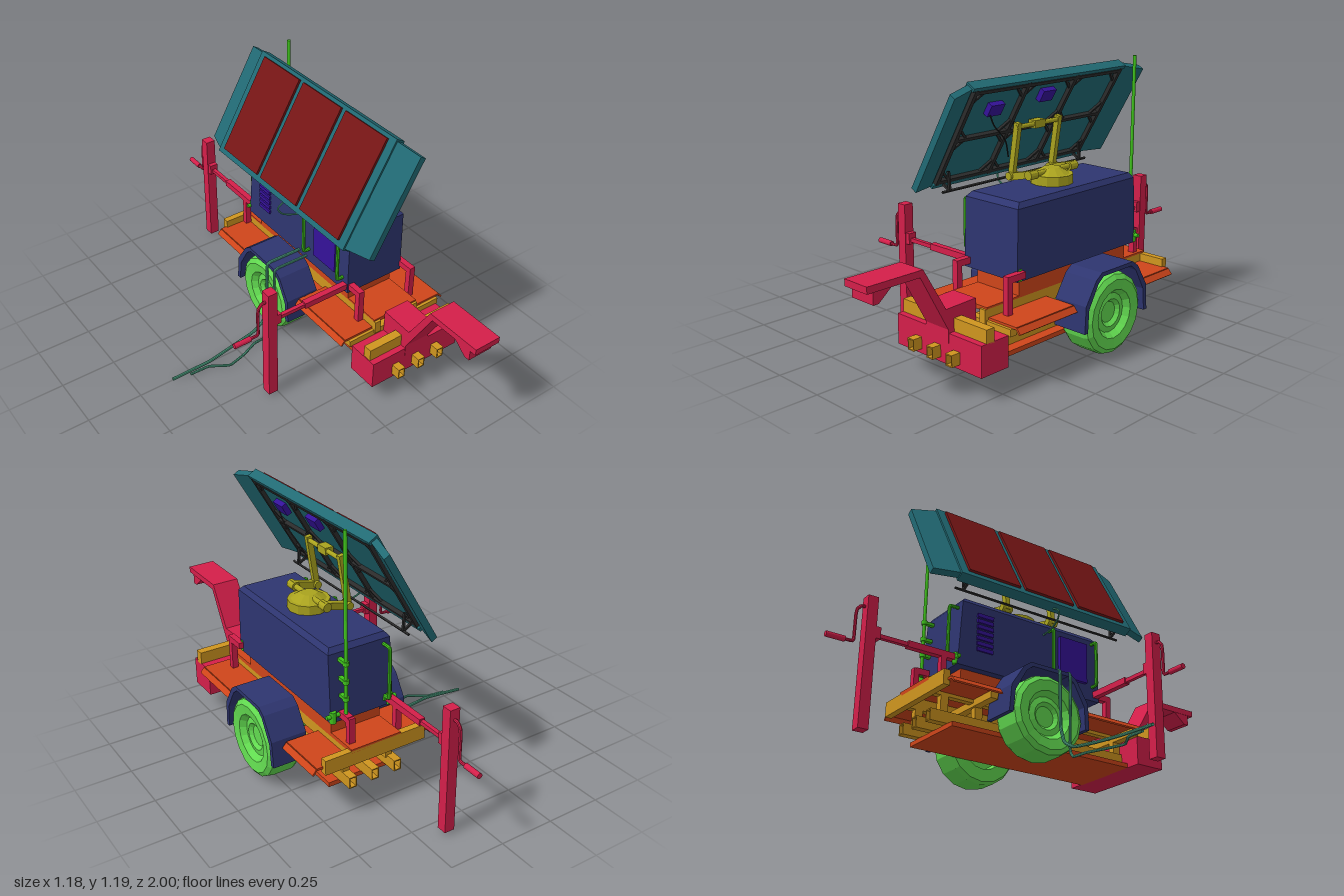
import * as THREE from 'three';

const mat = (color) => new THREE.MeshStandardMaterial({ color, flatShading: true, side: THREE.DoubleSide });
const V = (x, y, z) => new THREE.Vector3(x, y, z);

export function createModel() {
  const model = new THREE.Group();
  const M = {
    blue: mat(0x2e3570), pink: mat(0xd41f4a), amber: mat(0xcf951f), orange: mat(0xcf451a), teal: mat(0x216a74),
    red: mat(0x761515), yellow: mat(0xaaa31e), green: mat(0x3fc31c), tire: mat(0x62da50), hose: mat(0x4fa585),
    dark: mat(0x2b2b2b), purple: mat(0x35129a),
  };
  const add = (name, geo, m, parent = model) => {
    const mesh = new THREE.Mesh(geo, m);
    mesh.name = name;
    parent.add(mesh);
    return mesh;
  };
  // box given by its limits on each axis
  const box = (name, m, x0, x1, y0, y1, z0, z1, parent) => {
    const g = new THREE.BoxGeometry(x1 - x0, y1 - y0, z1 - z0);
    return add(name, g.translate((x0 + x1) / 2, (y0 + y1) / 2, (z0 + z1) / 2), m, parent);
  };
  // square bar between two points
  const bar = (name, m, a, b, w, h, parent = model) => {
    const mesh = new THREE.Mesh(new THREE.BoxGeometry(w, h, a.distanceTo(b)), m);
    mesh.name = name;
    mesh.position.copy(a).lerp(b, 0.5);
    mesh.lookAt(b);
    parent.add(mesh);
  };
  const tube = (name, m, pts, r, parent, tension = 0.15) => add(name, new THREE.TubeGeometry(
    new THREE.CatmullRomCurve3(pts.map((p) => V(...p)), false, 'catmullrom', tension), pts.length * 8, r, 8), m, parent);
  const rod = (name, m, r, h, x, y, z, axis = 'y', parent) => {
    const g = new THREE.CylinderGeometry(r, r, h, 12);
    if (axis === 'x') g.rotateZ(Math.PI / 2);
    if (axis === 'z') g.rotateX(Math.PI / 2);
    return add(name, g.translate(x, y, z), m, parent);
  };
  // side profile of [z, y] points extruded across x
  const sideShape = (name, m, pts, x0, x1) => {
    const g = new THREE.ExtrudeGeometry(new THREE.Shape(pts.map((p) => new THREE.Vector2(...p))),
      { depth: x1 - x0, bevelEnabled: false });
    return add(name, g.rotateY(-Math.PI / 2).translate(x1, 0, 0), m);
  };
  // box whose top is a smaller rectangle: [x0, x1, z0, z1] at each level
  const taper = (name, m, lo, hi, y0, y1) => {
    const g = new THREE.BoxGeometry(1, 1, 1), p = g.attributes.position;
    for (let i = 0; i < p.count; i++) {
      const r = p.getY(i) > 0 ? hi : lo;
      p.setXYZ(i, p.getX(i) > 0 ? r[1] : r[0], p.getY(i) > 0 ? y1 : y0, p.getZ(i) > 0 ? r[3] : r[2]);
    }
    g.computeVertexNormals();
    return add(name, g, m);
  };
  const MID = 0.267;

  // frame: lower rails, posts, upper rails, cross beams
  const tubeShape = new THREE.Shape([[-.0175, -.025], [.0175, -.025], [.0175, .025], [-.0175, .025]].map((p) => new THREE.Vector2(...p)));
  tubeShape.holes.push(new THREE.Path([[-.013, -.02], [-.013, .02], [.013, .02], [.013, -.02]].map((p) => new THREE.Vector2(...p))));
  for (const x of [0.155, 0.265, 0.372]) {
    add('lowerRail', new THREE.ExtrudeGeometry(tubeShape, { depth: 1.18, bevelEnabled: false }).translate(x, 0.155, -0.52), M.amber);
  }
  for (const x of [0.165, 0.37]) {
    box('upperRail', M.amber, x - 0.015, x + 0.015, 0.25, 0.31, -0.51, 0.48);
    for (const z of [0.455, 0.155, -0.285, -0.45]) box('framePost', M.amber, x - 0.015, x + 0.015, 0.17, 0.26, z - 0.018, z + 0.018);
  }
  for (const z of [0.455, 0.155, -0.295]) box('crossMember', M.amber, 0.02, 0.515, 0.235, 0.265, z - 0.018, z + 0.018);
  box('rearBeam', M.amber, 0.03, 0.505, 0.245, 0.31, -0.53, -0.5);
  box('frontBeam', M.amber, 0.033, 0.505, 0.235, 0.295, 0.55, 0.59);
  box('bottomPlate', M.orange, 0.1, 0.435, 0.11, 0.13, -0.44, 0.48);

  // deck with lower side wings
  box('deckPlate', M.orange, 0.15, 0.385, 0.3, 0.318, -0.53, 0.47);
  box('cabinetBase', M.orange, 0.15, 0.385, 0.315, 0.39, -0.38, 0.29);
  for (const s of [1, -1]) {
    for (const [z0, z1] of [[0.13, 0.46], [-0.51, -0.28]]) {
      const c = MID + s * 0.19, zc = (z0 + z1) / 2;
      box('deckWing', M.orange, c - 0.075, c + 0.075, 0.265, 0.275, z0, z1);
      bar('wingLip', M.orange, V(MID + s * 0.265, 0.27, zc), V(MID + s * 0.283, 0.248, zc), z1 - z0, 0.008);
    }
  }

  // drawbar box and raised hitch
  box('drawbarBox', M.pink, 0.03, 0.505, 0.11, 0.24, 0.475, 0.618);
  sideShape('gooseneck', M.pink, [[1, 0.525], [0.74, 0.525], [0.63, 0.34], [0.475, 0.345], [0.475, 0.2],
    [0.62, 0.2], [0.62, 0.255], [0.755, 0.497], [1, 0.497]], 0.203, 0.33);
  sideShape('hitchBracket', M.pink, [[0.97, 0.5], [0.97, 0.447], [0.945, 0.447], [0.88, 0.5]], 0.205, 0.325);

  // axle, wheels and fenders
  rod('axle', M.tire, 0.025, 0.5, MID, 0.195, -0.07, 'x');
  const tireProfile = [[0, 0.035], [0.045, 0.035], [0.06, 0.05], [0.085, 0.045], [0.105, 0.07], [0.15, 0.076], [0.17, 0.062],
    [0.175, 0.04], [0.175, -0.05], [0.165, -0.07], [0.11, -0.076], [0.1, -0.04], [0, -0.04]].map((p) => new THREE.Vector2(...p));
  const arch = [[0.13, 0.165], [0.125, 0.28], [0.065, 0.375], [0.03, 0.4], [-0.17, 0.4], [-0.205, 0.375], [-0.265, 0.28], [-0.275, 0.165]];
  const inner = arch.map(([z, y]) => [-0.07 + (z + 0.07) * 0.9, y < 0.2 ? y : y - 0.017]).reverse();
  for (const s of [1, -1]) {
    const c = MID + s * 0.246;
    const wheel = add('wheel', new THREE.LatheGeometry(tireProfile.slice().reverse(), 16), M.tire);
    wheel.rotation.z = -s * Math.PI / 2;
    wheel.position.set(c, 0.195, -0.07);
    sideShape('fender', M.blue, [...arch, ...inner], c - 0.08, c + 0.08);
  }

  // cabinet
  taper('cabinet', M.blue, [0.113, 0.41, -0.42, 0.327], [0.118, 0.408, -0.402, 0.322], 0.388, 0.683);
  taper('cabinetTop', M.blue, [0.118, 0.408, -0.402, 0.322], [0.135, 0.393, -0.385, 0.3], 0.683, 0.705);
  box('sidePanel', M.purple, 0.098, 0.125, 0.46, 0.65, 0.1, 0.25);
  for (let i = 0; i < 7; i++) box('vent', M.purple, 0.107, 0.125, 0.47 + i * 0.026, 0.487 + i * 0.026, -0.33, -0.25);

  // grab handles, corner latches and mast
  const handle = (z) => tube('grabHandle', M.green,
    [[0.125, 0.665, z], [0.09, 0.665, z], [0.082, 0.655, z], [0.082, 0.465, z], [0.09, 0.455, z], [0.125, 0.455, z]], 0.008);
  [0.05, 0.29].forEach(handle);
  tube('rearHandle', M.green, [[0.15, 0.66, -0.39], [0.15, 0.66, -0.44], [0.15, 0.65, -0.448],
    [0.15, 0.44, -0.448], [0.15, 0.43, -0.44], [0.15, 0.43, -0.4]], 0.008);
  for (const x of [0.13, 0.4]) {
    for (const z of [0.31, -0.42]) {
      rod('cornerLatch', M.green, 0.014, 0.05, x, 0.415, z);
      rod('latchPin', M.green, 0.009, 0.06, x, 0.42, z, 'x');
    }
  }
  rod('mast', M.green, 0.0075, 0.8, 0.357, 0.8, -0.449);
  for (const y of [0.42, 0.5, 0.575, 0.655]) {
    box('mastClamp', M.green, 0.348, 0.366, y - 0.007, y + 0.007, -0.455, -0.39);
    rod('mastCollar', M.green, 0.013, 0.018, 0.357, y, -0.449);
  }

  // crank jack on an arm reaching along local +x from the corner pivot
  const jack = (px, pz, turn) => {
    const g = new THREE.Group();
    g.name = 'outriggerJack';
    box('jackPost', M.pink, 0.4, 0.445, 0.02, 0.575, -0.023, 0.023, g);
    box('armCollar', M.pink, 0.378, 0.4, 0.4, 0.45, -0.02, 0.02, g);
    box('armOuter', M.pink, 0.24, 0.38, 0.41, 0.427, -0.009, 0.009, g);
    box('armInner', M.pink, 0.0, 0.25, 0.405, 0.433, -0.014, 0.014, g);
    tube('crank', M.pink, [[0.44, 0.53, 0], [0.462, 0.528, 0], [0.478, 0.51, 0], [0.482, 0.48, 0],
      [0.482, 0.38, 0], [0.49, 0.37, 0], [0.53, 0.37, 0]], 0.007, g);
    rod('crankHandle', M.pink, 0.012, 0.08, 0.56, 0.37, 0, 'x', g);
    g.position.set(px, 0, pz);
    g.rotation.y = turn;
    model.add(g);
  };
  jack(0.145, 0.307, Math.PI);
  jack(0.134, -0.395, Math.PI / 2);

  // corner brackets standing on the frame
  for (const x of [0.133, 0.417]) {
    box('bracketPost', M.pink, x - 0.014, x + 0.014, 0.27, 0.43, 0.373, 0.4);
    box('bracketArm', M.pink, x - 0.014, x + 0.014, 0.405, 0.433, 0.3, 0.4);
  }
  for (const x of [0.134, 0.357]) {
    box('bracketPost', M.pink, x - 0.014, x + 0.014, 0.28, 0.43, -0.492, -0.467);
    box('bracketArm', M.pink, x - 0.014, x + 0.014, 0.405, 0.433, -0.48, -0.4);
  }

  // tilting panel: local y runs up the slope, local +x is its back
  const panel = new THREE.Group();
  panel.name = 'tiltPanel';
  panel.position.set(0.137, 0.942, -0.03);
  panel.rotation.z = -Math.PI / 6;
  model.add(panel);
  box('panelSlab', M.teal, -0.023, 0.006, -0.248, 0.248, -0.457, 0.457, panel);
  for (const s of [1, -1]) {
    box('panelEdge', M.teal, 0, 0.023, s * 0.24 - 0.008, s * 0.24 + 0.008, -0.457, 0.457, panel);
    // swept-back end wing
    const g = new THREE.BoxGeometry(0.03, 0.48, 0.112).translate(0, 0, s * 0.513), p = g.attributes.position;
    for (let i = 0; i < p.count; i++) {
      if (Math.abs(p.getZ(i)) > 0.5) p.setXY(i, p.getX(i) + 0.03, p.getY(i) * 0.95 + 0.005);
    }
    g.computeVertexNormals();
    add('panelWing', g, M.teal, panel);
  }
  const cols = [-0.435, -0.145, 0.145, 0.435], rows = [-0.222, -0.01, 0.222];
  for (const z of [-0.288, 0, 0.288]) box('solarCell', M.red, -0.034, -0.02, -0.222, 0.232, z - 0.13, z + 0.13, panel);
  for (const z of cols) box('backRib', M.dark, 0.005, 0.024, -0.235, 0.235, z - 0.009, z + 0.009, panel);
  for (const y of rows) box('backRail', M.dark, 0.005, 0.024, y - 0.008, y + 0.008, -0.44, 0.44, panel);
  // diagonal gussets in each bay corner
  for (let c = 0; c < 3; c++) {
    for (let r = 0; r < 2; r++) {
      for (const [z, dz] of [[cols[c], 0.06], [cols[c + 1], -0.06]]) {
        for (const [y, dy] of [[rows[r], 0.06], [rows[r + 1], -0.06]]) {
          bar('gusset', M.dark, V(0.013, y + dy, z), V(0.013, y, z + dz), 0.01, 0.01, panel);
        }
      }
    }
  }
  for (const [y, z] of [[0.125, 0.285], [0.155, 0]]) box('junctionBox', M.purple, 0.005, 0.03, y - 0.027, y + 0.027, z - 0.038, z + 0.038, panel);
  // lower guard rail
  for (const z of [-0.4, 0.4]) {
    bar('guardStay', M.dark, V(0.02, -0.235, z), V(0.065, -0.235, z), 0.01, 0.01, panel);
    bar('guardStay', M.dark, V(0.02, -0.17, z), V(0.065, -0.235, z), 0.01, 0.01, panel);
  }
  bar('guardRail', M.dark, V(0.065, -0.235, -0.44), V(0.065, -0.235, 0.44), 0.008, 0.008, panel);

  // turntable and folding arms
  rod('turntable', M.yellow, 0.09, 0.045, 0.265, 0.722, -0.03);
  add('turntableCap', new THREE.CylinderGeometry(0.035, 0.075, 0.025, 12).translate(0.265, 0.757, -0.03), M.yellow);
  rod('pivotShaft', M.yellow, 0.012, 0.25, 0.265, 0.755, -0.03, 'z');
  for (const z of [-0.155, 0.092]) {
    rod('pivotHub', M.yellow, 0.02, 0.045, 0.265, 0.755, z, 'z');
    bar('lowerArm', M.yellow, V(0.275, 0.76, z), V(0.145, 0.728, z), 0.028, 0.03);
    rod('elbowHub', M.yellow, 0.017, 0.05, 0.157, 0.735, z, 'z');
    bar('upperArm', M.yellow, V(0.153, 0.725, z), V(0.188, 0.96, z), 0.022, 0.026);
  }
  rod('armCrossbar', M.yellow, 0.01, 0.27, 0.187, 0.942, -0.03, 'z');
  box('crossbarClamp', M.yellow, 0.16, 0.2, 0.925, 0.958, -0.06, 0);

  // panel cables and ground hoses
  tube('panelCable', M.hose, [[0.12, 0.64, 0.02], [0.06, 0.65, 0.02], [0, 0.67, 0.01], [-0.02, 0.7, 0], [0.01, 0.722, 0], [0.04, 0.735, 0]], 0.004, model, 0.5);
  tube('backCable', M.dark, [[0.215, 1.02, 0.28], [0.21, 0.97, 0.25], [0.19, 0.9, 0.17], [0.16, 0.82, 0.12]], 0.003, model, 0.5);
  tube('groundHose', M.hose, [[0.14, 0.405, -0.025], [-0.04, 0.405, -0.025], [-0.062, 0.39, -0.025], [-0.066, 0.15, -0.025],
    [-0.09, 0.075, -0.025], [-0.15, 0.04, -0.022], [-0.27, 0.028, -0.01], [-0.4, 0.025, 0.01], [-0.59, 0.013, 0.002]], 0.007);
  tube('groundHose', M.hose, [[0.14, 0.405, 0.03], [-0.04, 0.405, 0.03], [-0.062, 0.385, 0.03], [-0.064, 0.06, 0.025],
    [-0.085, 0.025, 0.025], [-0.17, 0.02, 0.025], [-0.25, 0.022, 0.06], [-0.34, 0.02, 0.08], [-0.42, 0.018, 0.03], [-0.51, 0.014, 0.022]], 0.006);

  return model;
}
